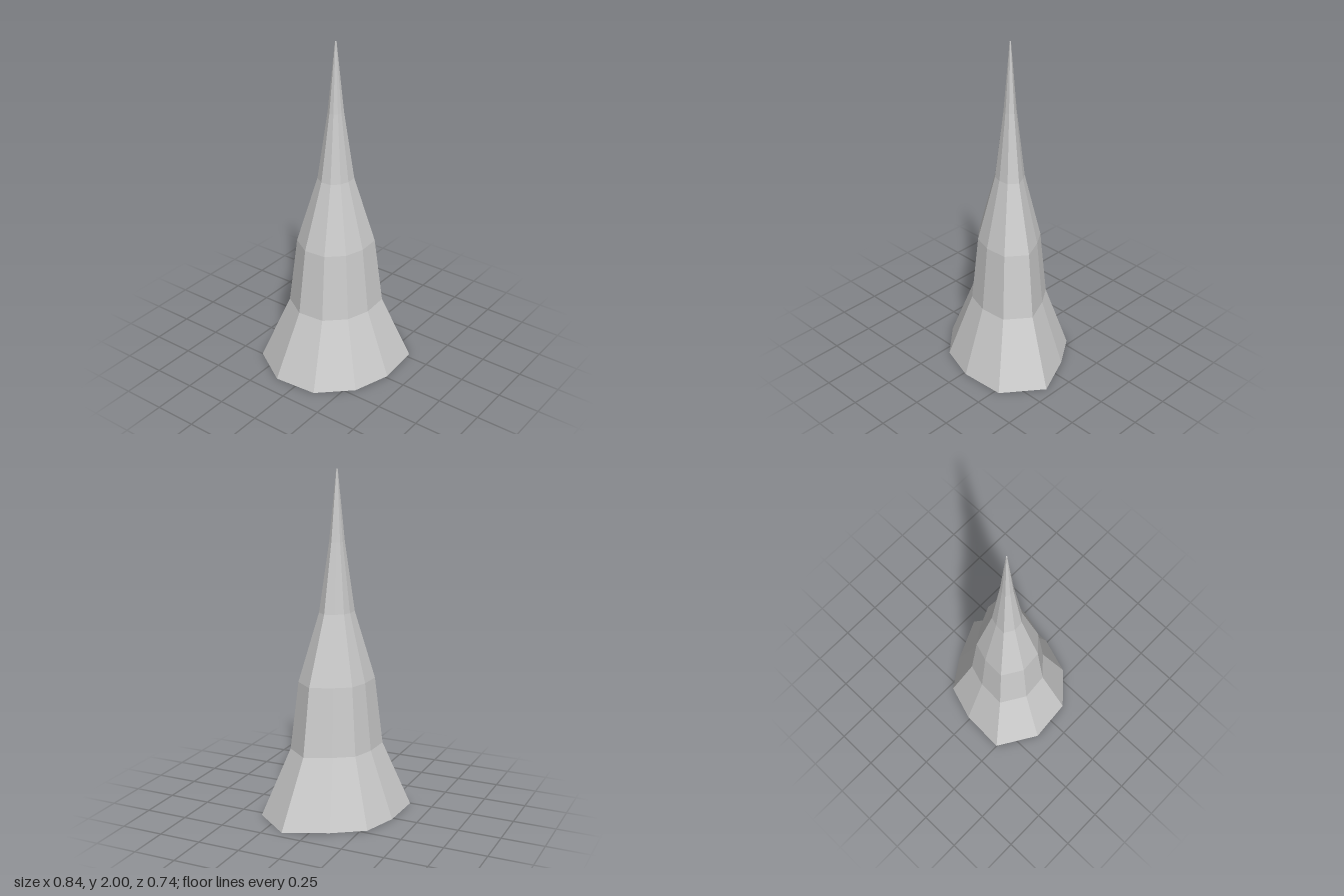
import * as THREE from 'three';

// Spoke lengths of the base, every 36 degrees from +x towards +z
const SPOKES = [0.36, 0.458, 0.447, 0.378, 0.408, 0.402, 0.429, 0.449, 0.353, 0.344];
// Share of the spoke length kept at each level, from the base to the tip
const TAPER = [1, 0.61, 0.5, 0.23, 0.1, 0.01];
const HEIGHT = 2;

export function createModel() {
  const group = new THREE.Group();
  group.name = 'spire';

  // Ten-sided column, reshaped into an irregular tapering spike
  const sides = SPOKES.length;
  const levels = TAPER.length - 1;
  const geometry = new THREE.CylinderGeometry(1, 1, HEIGHT, sides, levels);
  geometry.translate(0, HEIGHT / 2, 0);
  const pos = geometry.attributes.position;
  for (let i = 0; i < pos.count; i++) {
    const x = pos.getX(i), y = pos.getY(i), z = pos.getZ(i);
    const spoke = Math.round((Math.atan2(z, x) / (2 * Math.PI)) * sides + sides) % sides;
    const level = Math.round((y / HEIGHT) * levels);
    const scale = SPOKES[spoke] * TAPER[level];
    pos.setXYZ(i, x * scale, y, z * scale);
  }
  // The tip sits slightly off the centre of the uneven base
  geometry.translate(0.015, 0, 0);
  geometry.computeVertexNormals();

  const spike = new THREE.Mesh(
    geometry,
    new THREE.MeshStandardMaterial({ color: 0xcccccc, flatShading: true })
  );
  spike.name = 'spike';
  group.add(spike);
  return group;
}
